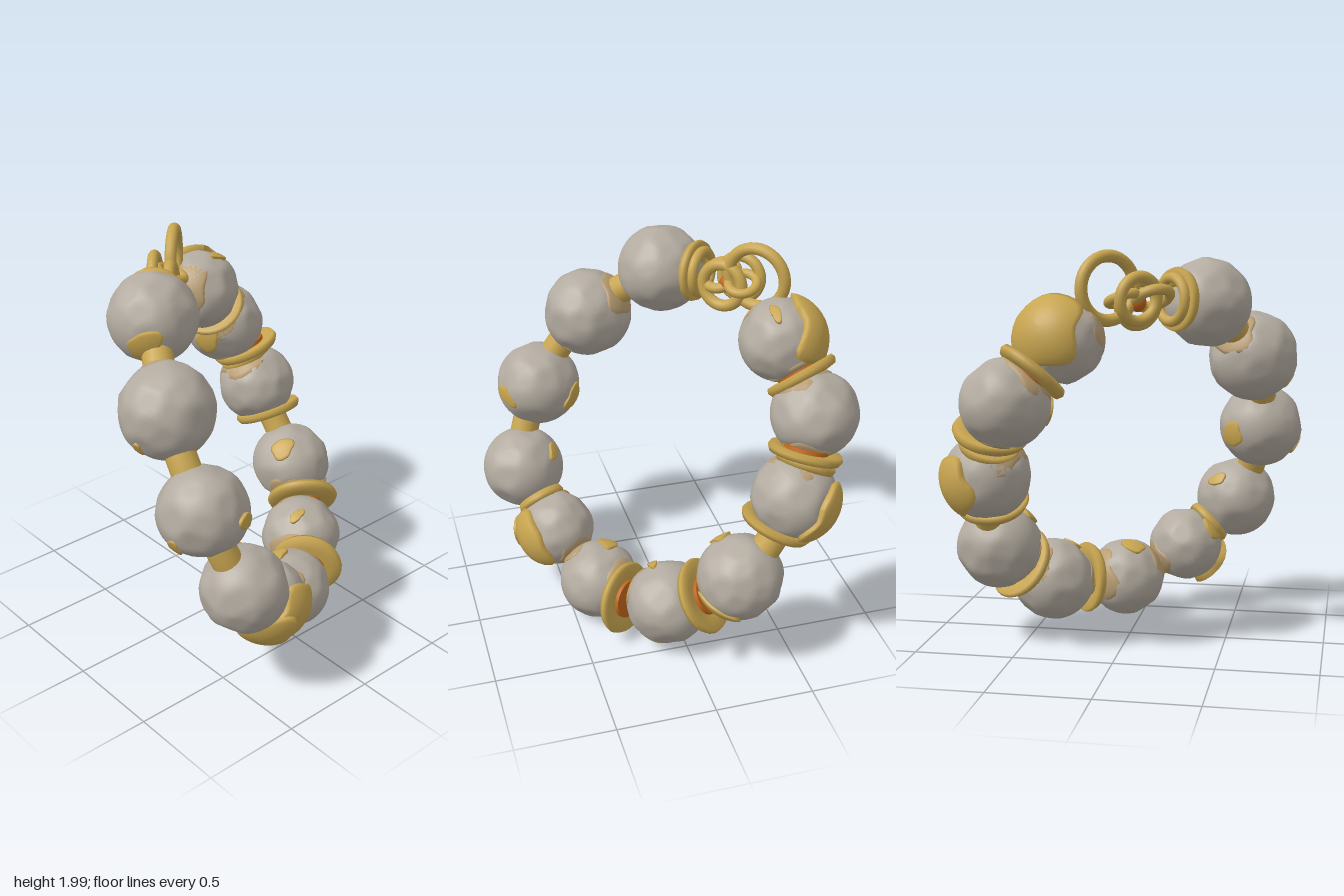
import * as THREE from 'three';
import { mergeVertices } from 'three/addons/utils/BufferGeometryUtils.js';

const stone = new THREE.MeshStandardMaterial({ color: 0xb3aba0 }); stone.name = 'grey stone';
const gold = new THREE.MeshStandardMaterial({ color: 0xc8a550 }); gold.name = 'gold';
const tan = new THREE.MeshStandardMaterial({ color: 0xb99e74 }); tan.name = 'tan';
const rust = new THREE.MeshStandardMaterial({ color: 0xc0651a }); rust.name = 'rust orange';

const V = (x, y, z) => new THREE.Vector3(x, y, z);
const UP = V(0, 1, 0);

function seeded(seed) {
  let s = seed;
  return () => (s = (s * 16807) % 2147483647) / 2147483647;
}

// Bead centres and radii, in order along the cord
const beads = [
  [-0.40, 1.74, -0.115, 0.217], [-0.60, 1.45, 0.23, 0.228], [-0.625, 1.05, 0.51, 0.217],
  [-0.485, 0.625, 0.64, 0.212], [-0.22, 0.375, 0.52, 0.195], [0.085, 0.215, 0.36, 0.203],
  [0.425, 0.26, 0.08, 0.212], [0.635, 0.51, -0.23, 0.214], [0.61, 0.92, -0.50, 0.21],
  [0.48, 1.29, -0.635, 0.213], [0.233, 1.58, -0.54, 0.205],
].map(([x, y, z, r]) => ({ p: V(x, y, z), r }));

// Round stone with a few shallow hammered facets
function beadGeometry(r, seed) {
  const rnd = seeded(seed * 7919 + 13);
  for (let i = 0; i < 5; i++) rnd();
  const planes = [];
  for (let i = 0; i < 55; i++) {
    const n = V(rnd() * 2 - 1, rnd() * 2 - 1, rnd() * 2 - 1).normalize();
    planes.push([n, 0.955 + rnd() * 0.045]);
  }
  let g = new THREE.IcosahedronGeometry(1, 9);
  g.deleteAttribute('uv');
  g.deleteAttribute('normal');
  g = mergeVertices(g, 1e-4);
  const pos = g.attributes.position, v = V();
  for (let i = 0; i < pos.count; i++) {
    v.fromBufferAttribute(pos, i).normalize();
    let d = 1.015;
    for (const [n, h] of planes) {
      const c = n.dot(v);
      if (c > 0.5) d = Math.min(d, h / c);
    }
    v.multiplyScalar(r * d);
    pos.setXYZ(i, v.x, v.y, v.z);
  }
  g.computeVertexNormals();
  return g;
}

// Curved plate lying on a bead: w is its angular radius, k its squeeze across
function capGeometry(r, w, lift, k) {
  const pts = [new THREE.Vector2(Math.sin(w) * r * 0.95, Math.cos(w) * r * 0.95)];
  for (let i = 0; i <= 8; i++) {
    const a = w * (1 - i / 8), rr = r * (i === 0 ? (1 + lift) * 0.99 : 1 + lift);
    pts.push(new THREE.Vector2(i === 8 ? 0 : Math.sin(a) * rr, Math.cos(a) * rr));
  }
  const g = new THREE.LatheGeometry(pts, 28);
  const pos = g.attributes.position;
  for (let i = 0; i < pos.count; i++) {
    const x = pos.getX(i), z = pos.getZ(i) * k, t = Math.atan2(z, x);
    const m = 1 + 0.09 * Math.sin(3 * t + 1) + 0.05 * Math.sin(5 * t);
    const h = Math.hypot(pos.getX(i), pos.getY(i), pos.getZ(i));
    const nx = x * m, nz = z * m;
    pos.setXYZ(i, nx, Math.sqrt(Math.max(0, h * h - nx * nx - nz * nz)), nz);
  }
  g.computeVertexNormals();
  return g;
}

// Flared collar around the cord
function collarGeometry(R) {
  const pts = [[0.06, -0.025], [R * 0.7, -0.022], [R * 0.93, -0.015], [R, 0.01], [R * 0.95, 0.032],
    [R * 0.7, 0.022], [0.06, 0.02], [0.06, -0.025]].map(([x, y]) => new THREE.Vector2(x, y));
  return new THREE.LatheGeometry(pts, 32);
}

export function createModel() {
  const model = new THREE.Group();
  model.name = 'beadBracelet';
  const add = (name, geo, mat, p, dir) => {
    const m = new THREE.Mesh(geo, mat);
    m.name = name;
    if (p) m.position.copy(p);
    if (dir) m.quaternion.setFromUnitVectors(UP, dir.clone().normalize());
    model.add(m);
  };

  // Beads and the gold cord running through them
  beads.forEach((b, i) => add('bead' + (i + 1), beadGeometry(b.r, i + 1), stone, b.p));
  const cord = new THREE.CatmullRomCurve3(beads.map(b => b.p));
  add('cord', new THREE.TubeGeometry(cord, 120, 0.075, 16), gold);

  // Tan stains around the bead holes: bead, neighbour it faces, angular radius
  const stain = (i, dir, w) => add('holeStain', capGeometry(beads[i].r, w, 0.016, 1), tan, beads[i].p, dir);
  const stains = [
    [1, 0, 0.55], [1, 2, 0.45], [5, 4, 0.68], [4, 5, 0.6], [5, 6, 0.8], [6, 5, 0.72], [6, 7, 0.65],
    [7, 6, 0.7], [8, 9, 0.85], [9, 8, 0.75], [9, 10, 0.85], [10, 9, 0.65],
  ];
  for (const [i, j, w] of stains) stain(i, beads[j].p.clone().sub(beads[i].p), w);
  stain(10, V(-0.8, 0.3, 0.3), 0.72);
  stain(9, V(-0.65, 0.6, 0.42), 0.75);

  // Collars between beads: first bead, second bead, radius, position along the gap,
  // tilt, sideways shift, radius of the rust core (0 for none)
  const collars = [
    [3, 4, 0.13, 0.52, [0, 0, 0], [0, 0, 0], 0],
    [5, 6, 0.19, 0.5, [0, 0, 0], [0.025, -0.015, 0.06], 0.1],
    [6, 7, 0.195, 0.5, [0.05, 0, 0], [0.035, -0.015, 0.02], 0.1],
    [7, 8, 0.185, 0.66, [0, 0.1, 0.1], [0, -0.01, 0], 0],
    [8, 9, 0.185, 0.56, [0.05, 0.1, 0], [0.04, 0, 0.02], 0.11],
    [8, 9, 0.15, 0.42, [0, 0, -0.1], [0.03, 0, 0], 0],
    [9, 10, 0.185, 0.48, [0, 0.1, 0.15], [0, 0, -0.02], 0.115],
  ];
  for (const [i, j, R, t, tilt, shift, core] of collars) {
    const a = beads[i].p, b = beads[j].p;
    const dir = b.clone().sub(a).normalize().add(V(...tilt));
    const at = a.clone().lerp(b, t).add(V(...shift));
    add('collar', collarGeometry(R), gold, at, dir);
    if (core) add('collarCore', new THREE.CylinderGeometry(core, core, 0.08, 20), rust, at, dir);
  }

  // Plates and drops of gold: bead, direction, angular radius, lift, squeeze
  const plates = [
    [10, [0.3, 0.38, -0.88], 1.0, 0.13, 0.92], [8, [0.7, -0.25, -0.65], 0.8, 0.12, 0.85],
    [4, [0.28, -0.08, 0.9], 0.85, 0.13, 0.9], [4, [-0.6, -0.5, 0.55], 0.8, 0.2, 0.75],
    [4, [-0.8, 0.5, -0.3], 0.35, 0.06, 0.7],
    [7, [0.2, -0.6, 0.7], 0.65, 0.06, 0.65], [2, [0.45, -0.01, 0.88], 0.35, 0.05, 0.5],
    [2, [0.6, -0.15, -0.7], 0.36, 0.05, 0.8], [2, [-0.85, -0.5, 0.1], 0.25, 0.04, 0.7],
    [3, [0.4, 0.55, -0.7], 0.25, 0.06, 0.6], [5, [-0.25, 0.9, -0.3], 0.32, 0.05, 0.8],
    [6, [-0.4, 0.8, 0.25], 0.24, 0.04, 0.5], [6, [0.3, -0.8, 0.4], 0.22, 0.03, 0.6],
    [7, [-0.6, 0.72, 0.3], 0.32, 0.06, 0.8], [9, [-0.88, -0.15, 0.4], 0.38, 0.06, 0.75],
    [10, [0.35, 0.87, 0.3], 0.28, 0.05, 0.4],
    [0, [-0.65, -0.25, 0.55], 0.45, 0.05, 0.7], [1, [-0.8, -0.55, 0.1], 0.2, 0.03, 0.6],
  ];
  for (const [i, d, w, lift, k] of plates)
    add('goldPlate', capGeometry(beads[i].r, w, lift, k), gold, beads[i].p, V(...d));

  // Clasp: end cap on the first bead, then interlocking rings to the last bead
  const along = V(0.7, 0.05, -0.7);
  add('claspCollar', collarGeometry(0.155), gold, V(-0.28, 1.76, -0.255), along);
  const ring = (name, R, tube, p, normal) =>
    add(name, new THREE.TorusGeometry(R, tube, 12, 36).rotateX(Math.PI / 2), gold, V(...p), V(...normal));
  ring('claspCollarLip', 0.105, 0.025, [-0.25, 1.76, -0.285], [0.7, 0.05, -0.7]);
  ring('largeClaspRing', 0.15, 0.03, [0.02, 1.82, -0.48], [0.7, 0, 0.7]);
  ring('claspLink', 0.105, 0.03, [-0.1, 1.745, -0.345], [0.7, 0.1, 0.7]);
  ring('claspLink', 0.105, 0.028, [-0.12, 1.77, -0.45], [0.7, 0.1, 0.7]);
  ring('claspLink', 0.085, 0.026, [-0.17, 1.77, -0.36], [0.3, 0.8, 0.4]);
  ring('claspLink', 0.07, 0.024, [-0.04, 1.77, -0.43], [0.3, 0.85, 0.2]);
  add('claspCore', new THREE.SphereGeometry(0.045, 16, 12), rust, V(-0.1, 1.75, -0.375));

  return model;
}
